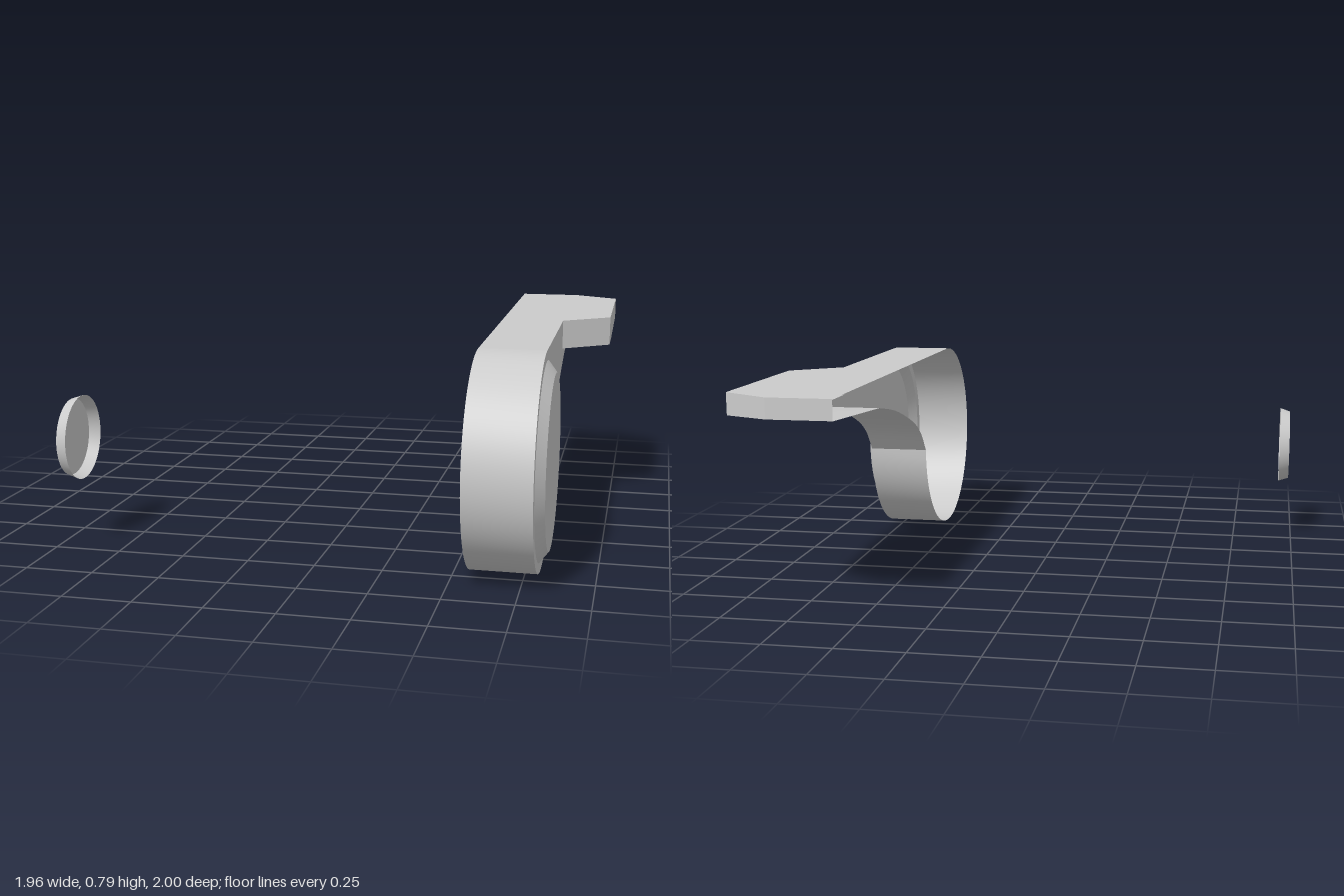
import * as THREE from 'three';
import { toCreasedNormals } from 'three/addons/utils/BufferGeometryUtils.js';

// Hub centre and radius, top height, inner and outer sides of the lever
const CZ = 0.606, CY = 0.397, R = 0.395, TOP = CY + R, X0 = 0.56, X1 = 0.8, X2 = 0.98;

const material = new THREE.MeshStandardMaterial({ color: 0xcccccc, side: THREE.DoubleSide });

function addPart(group, name, geometry) {
  const mesh = new THREE.Mesh(toCreasedNormals(geometry, 0.45), material);
  mesh.name = name;
  group.add(mesh);
}

// Strip of quads between two polylines of [x, y, z]
function strip(a, b) {
  const index = [];
  for (let i = 0; i < a.length - 1; i++) {
    const j = i + a.length;
    index.push(i, j, i + 1, i + 1, j, j + 1);
  }
  const g = new THREE.BufferGeometry();
  g.setAttribute('position', new THREE.Float32BufferAttribute([...a, ...b].flat(), 3));
  g.setIndex(index);
  g.computeVertexNormals();
  return g;
}

// Wall running across the lever along a side outline of (z, y) points
const wall = (pts) => strip(
  pts.map((p) => [X1, p.y, p.x]),
  pts.map((p) => [X0, p.y, p.x]));

// Round shell turned about the x axis, profile of [radius, x]
function turned(profile) {
  const g = new THREE.LatheGeometry(profile.map((p) => new THREE.Vector2(...p)), 64);
  g.rotateZ(-Math.PI / 2);
  g.translate(0, CY, CZ);
  return g;
}

export function createModel() {
  const model = new THREE.Group();
  const V = (z, y) => new THREE.Vector2(z, y);

  // Side outlines: round hub, then the curved underside
  const hub = [];
  for (let i = 0; i <= 48; i++) {
    const t = Math.PI / 2 - (i / 48) * Math.PI * 1.5;
    hub.push(V(CZ + R * Math.cos(t), CY + R * Math.sin(t)));
  }
  const under = new THREE.SplineCurve([
    V(CZ - R, CY), V(0.13, 0.487), V(0, 0.557), V(-0.235, 0.635), V(-0.46, 0.68),
  ]).getPoints(24);
  under.push(V(-1, 0.716));

  const lever = new THREE.Group();
  lever.name = 'lever';
  model.add(lever);
  addPart(lever, 'hubWall', wall(hub));
  addPart(lever, 'underside', wall(under));
  addPart(lever, 'endWall', wall([V(-1, 0.716), V(-1, TOP)]));

  // Outer side plate, with the round opening under the cap
  const side = new THREE.Shape([
    ...hub, ...under.slice(1, -1), V(-0.46, 0.682), V(-0.14, 0.682), V(-0.14, TOP),
  ]);
  const hole = new THREE.Path();
  hole.absarc(CZ, CY, 0.357, 0, Math.PI * 2, true);
  side.holes.push(hole);
  const plate = new THREE.ShapeGeometry(side, 32);
  plate.rotateY(-Math.PI / 2);
  plate.translate(X1, 0, 0);
  addPart(lever, 'sidePlate', plate);

  // Bevelled raised cap on the hub
  addPart(lever, 'hubCap', turned([[0, 0.832], [0.315, 0.832], [0.357, X1]]));

  // Flat top with the widened thumb grip, rows of [z, outer x, grip floor y]
  const grip = [
    [-0.14, X1, 0.68], [-0.28, X2, 0.68], [-0.46, X2, 0.68], [-0.9, X2, 0.71], [-1, X1, 0.716],
  ];
  const rows = [[CZ, X1, 0], ...grip];
  addPart(lever, 'topPlate', strip(
    rows.map(([z]) => [X0, TOP, z]),
    rows.map(([z, x]) => [x, TOP, z])));
  addPart(lever, 'gripFloor', strip(
    grip.map(([z, x, y]) => [x, y, z]),
    grip.map(([z, , y]) => [X1, y, z])));
  addPart(lever, 'gripEdge', strip(
    grip.map(([z, x]) => [x, TOP, z]),
    grip.map(([z, x, y]) => [x, y, z])));

  // Small separate button cap on the opposite side, open inwards
  addPart(model, 'buttonCap', turned([[0, -0.982], [0.146, -0.982], [0.16, -0.94]]));

  return model;
}
